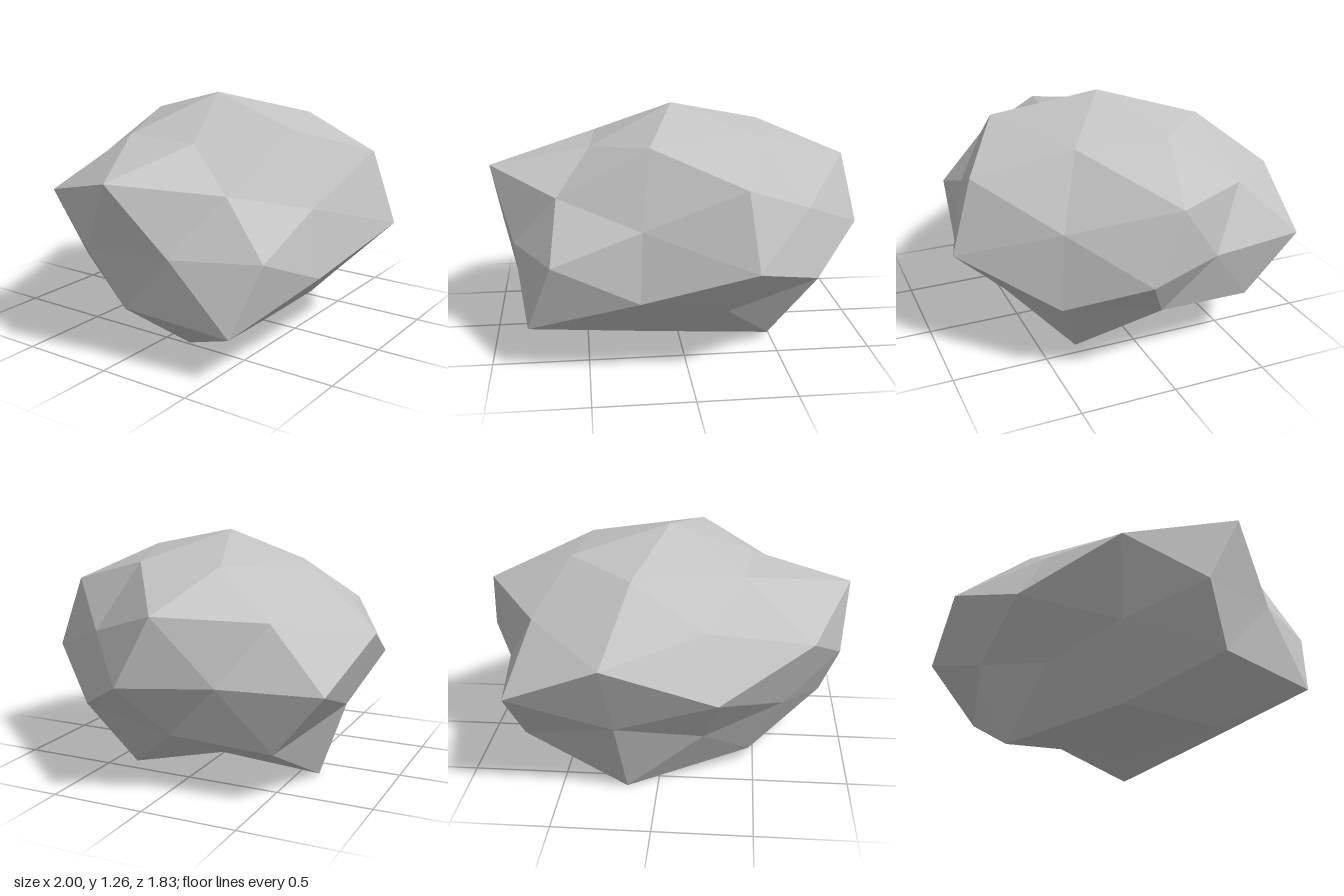
import * as THREE from 'three';

// Radii of the boulder's corners, grouped by |x| and |y| of the corner's direction.
// Order in each row: +x+z, -x+z, +x-z, -x-z for the upper half, then the lower half.
const RADII = {
  '0.0 1.0': [1.09, 0, 0, 0, 0.98],                                  // poles
  '0.5 0.9': [1.03, 0.905, 0, 0, 0.886, 1.08],                       // crown sides
  '0.3 0.8': [1.06, 1.1, 1.05, 0.95, 1.145, 0.94, 1.21, 1.05],       // crown diagonals
  '0.0 0.5': [1.19, 0, 0.93, 0, 0.935, 0, 0.89],                     // front and back shoulders
  '0.8 0.5': [1.147, 0.93, 0.985, 1.156, 0.92, 1.17, 1.07, 1.0],     // side shoulders
  '0.5 0.3': [0.965, 0.89, 1.13, 1.09, 1.04, 0.96, 0.94, 0.89],      // diagonal shoulders
  '0.9 0.0': [1.077, 1.02, 1.17, 0.985],                             // waist corners
  '1.0 0.0': [0.89, 0.91],                                           // waist sides
  '0.0 0.0': [1.16, 0, 1.03],                                        // waist front and back
};

function radiusFor(v) {
  const key = `${Math.abs(v.x).toFixed(1)} ${Math.abs(v.y).toFixed(1)}`;
  const neg = (n) => (n < -0.01 ? 1 : 0);
  return RADII[key][neg(v.x) + 2 * neg(v.z) + 4 * neg(v.y)];
}

export function createModel() {
  const stone = new THREE.MeshStandardMaterial({ color: 0xc4c4c4, flatShading: true });
  stone.name = 'stone grey';

  // Faceted ball with each corner pushed in or out along its own direction
  const geometry = new THREE.IcosahedronGeometry(1, 1);
  const position = geometry.attributes.position;
  const v = new THREE.Vector3();
  for (let i = 0; i < position.count; i++) {
    v.fromBufferAttribute(position, i);
    v.multiplyScalar(radiusFor(v));
    position.setXYZ(i, v.x, v.y, v.z);
  }

  // Flatten, turn and set it on the ground
  geometry.scale(1, 0.61, 0.838);
  geometry.rotateY(THREE.MathUtils.degToRad(20));
  geometry.translate(-0.018, 0.6, 0);
  geometry.computeVertexNormals();

  const boulder = new THREE.Mesh(geometry, stone);
  boulder.name = 'boulder';
  const group = new THREE.Group();
  group.name = 'rock';
  group.add(boulder);
  return group;
}
